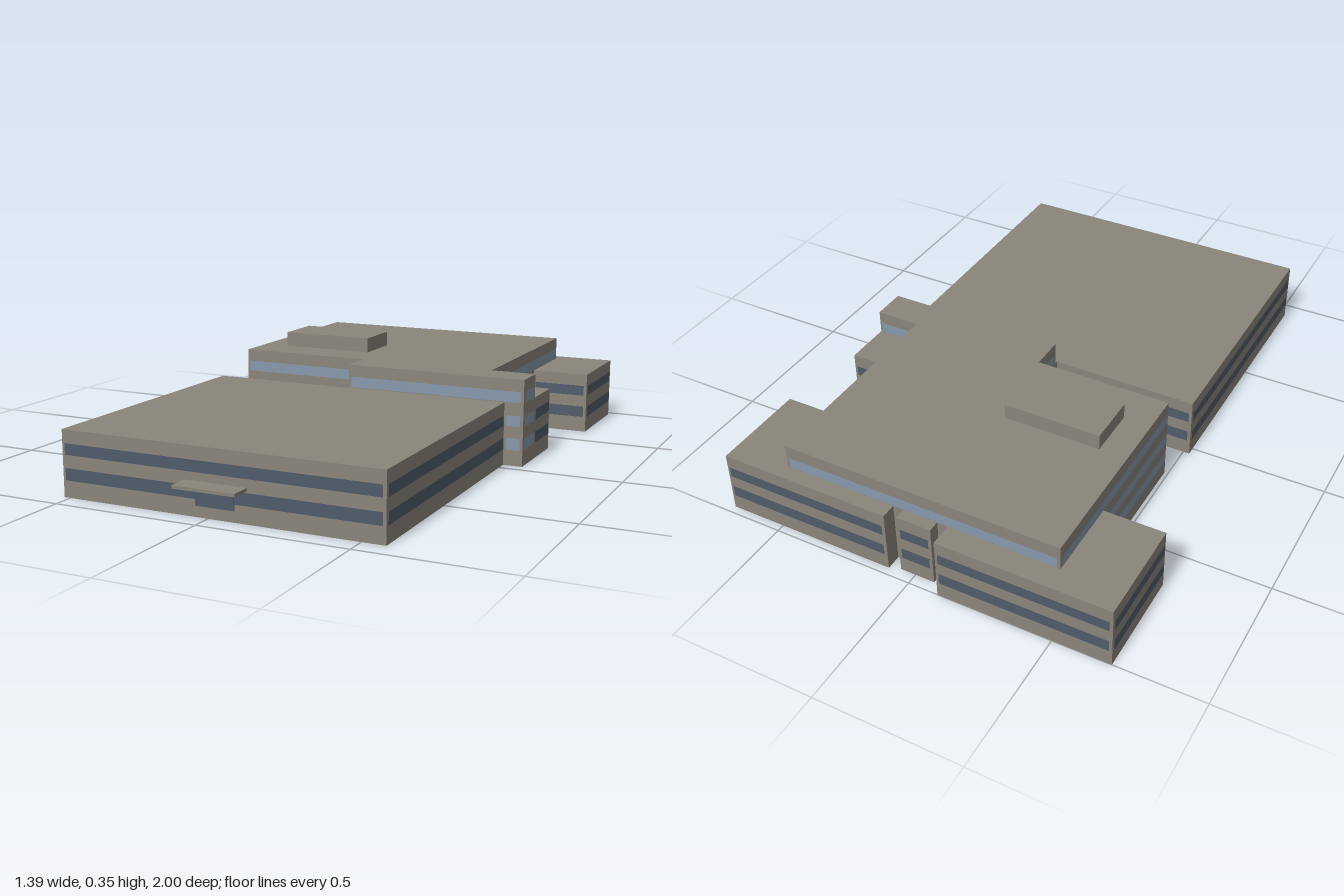
import * as THREE from 'three';

const wallMat = new THREE.MeshStandardMaterial({ color: 0x8a857b, side: THREE.DoubleSide });
wallMat.name = 'concrete';
const darkMat = new THREE.MeshStandardMaterial({ color: 0x505c6a });
darkMat.name = 'dark glass';
const lightMat = new THREE.MeshStandardMaterial({ color: 0x8799ad });
lightMat.name = 'light glass';

const LOW = 0.218, HIGH = 0.3;
const GROUND_ROWS = [[0.056, 0.096], [0.138, 0.175]];
const UPPER_ROWS = [[0.221, 0.258]];

// Footprint corners [x, z, glass of the wall that starts here]
const footprint = [
  [-0.522, 0.93, darkMat], [0.577, 0.93, darkMat],
  [0.577, -0.04, lightMat], [0.645, -0.04, lightMat], [0.645, -0.16, darkMat],
  [0.645, -0.33, darkMat], [0.487, -0.33, lightMat], [0.487, -0.637, darkMat],
  [0.694, -0.637, darkMat], [0.694, -0.973, darkMat],
  [0.09, -0.973, null], [0.09, -0.92, null],
  [0.053, -0.92, null], [0.053, -0.96, darkMat], [-0.068, -0.96, null], [-0.068, -0.92, null],
  [-0.105, -0.92, darkMat], [-0.105, -1, darkMat], [-0.697, -1, darkMat], [-0.697, -0.64, darkMat],
  [-0.487, -0.64, lightMat], [-0.487, -0.16, lightMat], [-0.005, -0.16, lightMat],
  [-0.005, -0.03, darkMat], [-0.522, -0.03, darkMat],
];

// Raised storey outline
const upper = [
  [-0.487, -0.16], [-0.005, -0.16], [-0.005, -0.04], [0.645, -0.04],
  [0.645, -0.16], [0.487, -0.16], [0.487, -0.92], [-0.487, -0.92],
].map(([x, z]) => [x, z, lightMat]);

// Upright panel between two plan points, facing outwards
function panel(parent, name, a, b, y0, y1, mat, inset = 0, offset = 0) {
  const dx = b[0] - a[0], dz = b[1] - a[1], len = Math.hypot(dx, dz);
  if (len - 2 * inset < 0.03) return;
  const mesh = new THREE.Mesh(new THREE.PlaneGeometry(len - 2 * inset, y1 - y0), mat);
  mesh.name = name;
  mesh.position.set(
    (a[0] + b[0]) / 2 - (dz / len) * offset,
    (y0 + y1) / 2,
    (a[1] + b[1]) / 2 + (dx / len) * offset);
  mesh.rotation.y = Math.atan2(-dz, dx);
  parent.add(mesh);
}

// Walls along a closed outline, with ribbon windows
function storey(name, outline, y0, y1, rows) {
  const group = new THREE.Group();
  group.name = name;
  outline.forEach((a, i) => {
    const b = outline[(i + 1) % outline.length];
    panel(group, 'wall', a, b, y0, y1, wallMat);
    if (!a[2]) return;
    for (const [w0, w1] of rows) panel(group, 'ribbonWindow', a, b, w0, w1, a[2], 0.01, 0.002);
  });
  return group;
}

function roof(name, points, y) {
  const shape = new THREE.Shape(points.map(([x, z]) => new THREE.Vector2(x, -z)));
  const geo = new THREE.ShapeGeometry(shape);
  geo.rotateX(-Math.PI / 2);
  const mesh = new THREE.Mesh(geo, wallMat);
  mesh.name = name;
  mesh.position.y = y;
  return mesh;
}

const rect = (x0, x1, z0, z1) => [[x0, z1], [x1, z1], [x1, z0], [x0, z0]];

function box(name, x0, x1, y0, y1, z0, z1, mat) {
  const mesh = new THREE.Mesh(new THREE.BoxGeometry(x1 - x0, y1 - y0, z1 - z0), mat);
  mesh.name = name;
  mesh.position.set((x0 + x1) / 2, (y0 + y1) / 2, (z0 + z1) / 2);
  return mesh;
}

export function createModel() {
  const model = new THREE.Group();
  model.name = 'building';

  // Walls and windows
  model.add(storey('lowerStoreys', footprint, 0, LOW, GROUND_ROWS));
  model.add(storey('upperStorey', upper, LOW, HIGH, UPPER_ROWS));

  // Roofs
  model.add(
    roof('upperRoof', upper, HIGH),
    roof('frontHallRoof', [[-0.522, 0.93], [0.577, 0.93], [0.577, -0.04], [-0.005, -0.04], [-0.005, -0.03], [-0.522, -0.03]], LOW),
    roof('sideBayRoof', rect(0.487, 0.645, -0.33, -0.16), LOW),
    roof('backBayRoof', rect(-0.068, 0.053, -0.96, -0.92), LOW),
    roof('leftWingRoof', [[0.487, -0.637], [0.694, -0.637], [0.694, -0.973], [0.09, -0.973], [0.09, -0.92], [0.487, -0.92]], LOW),
    roof('rightWingRoof', [[-0.697, -0.64], [-0.487, -0.64], [-0.487, -0.92], [-0.105, -0.92], [-0.105, -1], [-0.697, -1]], LOW));

  // Rooftop plant room
  model.add(box('plantRoom', -0.39, -0.052, HIGH, 0.353, -0.475, -0.295, wallMat));

  // Entrance
  model.add(box('entranceCanopy', -0.078, 0.134, 0.101, 0.111, 0.93, 1, wallMat));
  model.add(box('entranceDoor', -0.04, 0.092, 0.036, 0.101, 0.929, 0.934, darkMat));
  return model;
}
